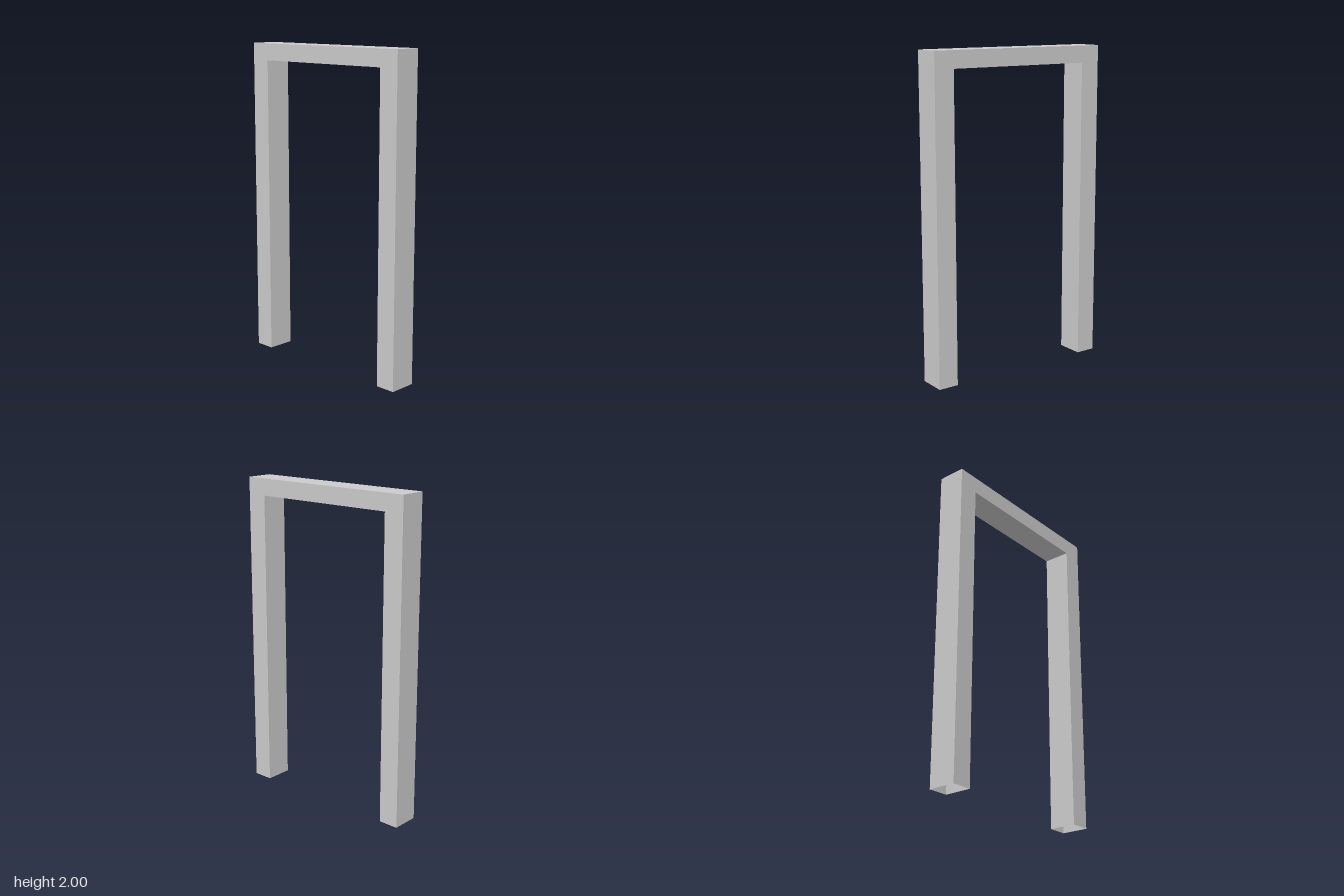
import * as THREE from 'three';

const HALF_WIDTH = 0.6, HALF_OPENING = 0.472, HEIGHT = 2, LINTEL_BOTTOM = 1.895, DEPTH = 0.173;

// Removes every triangle lying on the ground, leaving the feet open.
function openBottom(geometry) {
  const p = geometry.getAttribute('position');
  const kept = [];
  for (let i = 0; i < p.count; i += 3) {
    if ([0, 1, 2].every((k) => Math.abs(p.getY(i + k)) < 1e-6)) continue;
    for (let k = 0; k < 3; k++) kept.push(p.getX(i + k), p.getY(i + k), p.getZ(i + k));
  }
  const result = new THREE.BufferGeometry();
  result.setAttribute('position', new THREE.Float32BufferAttribute(kept, 3));
  result.computeVertexNormals();
  return result;
}

export function createModel() {
  const group = new THREE.Group();
  group.name = 'doorway';

  // One continuous hollow casing: two jambs joined by a lintel
  const outline = new THREE.Shape([
    [-HALF_WIDTH, 0], [-HALF_OPENING, 0],
    [-HALF_OPENING, LINTEL_BOTTOM], [HALF_OPENING, LINTEL_BOTTOM],
    [HALF_OPENING, 0], [HALF_WIDTH, 0],
    [HALF_WIDTH, HEIGHT], [-HALF_WIDTH, HEIGHT],
  ].map(([x, y]) => new THREE.Vector2(x, y)));
  const solid = new THREE.ExtrudeGeometry(outline, { depth: DEPTH, bevelEnabled: false });
  solid.translate(0, 0, -DEPTH / 2);

  // Double-sided, as the inside shows through the open feet
  const material = new THREE.MeshStandardMaterial({
    color: 0xcccccc, flatShading: true, side: THREE.DoubleSide,
  });
  const frame = new THREE.Mesh(openBottom(solid), material);
  frame.name = 'doorFrame';
  group.add(frame);
  return group;
}
